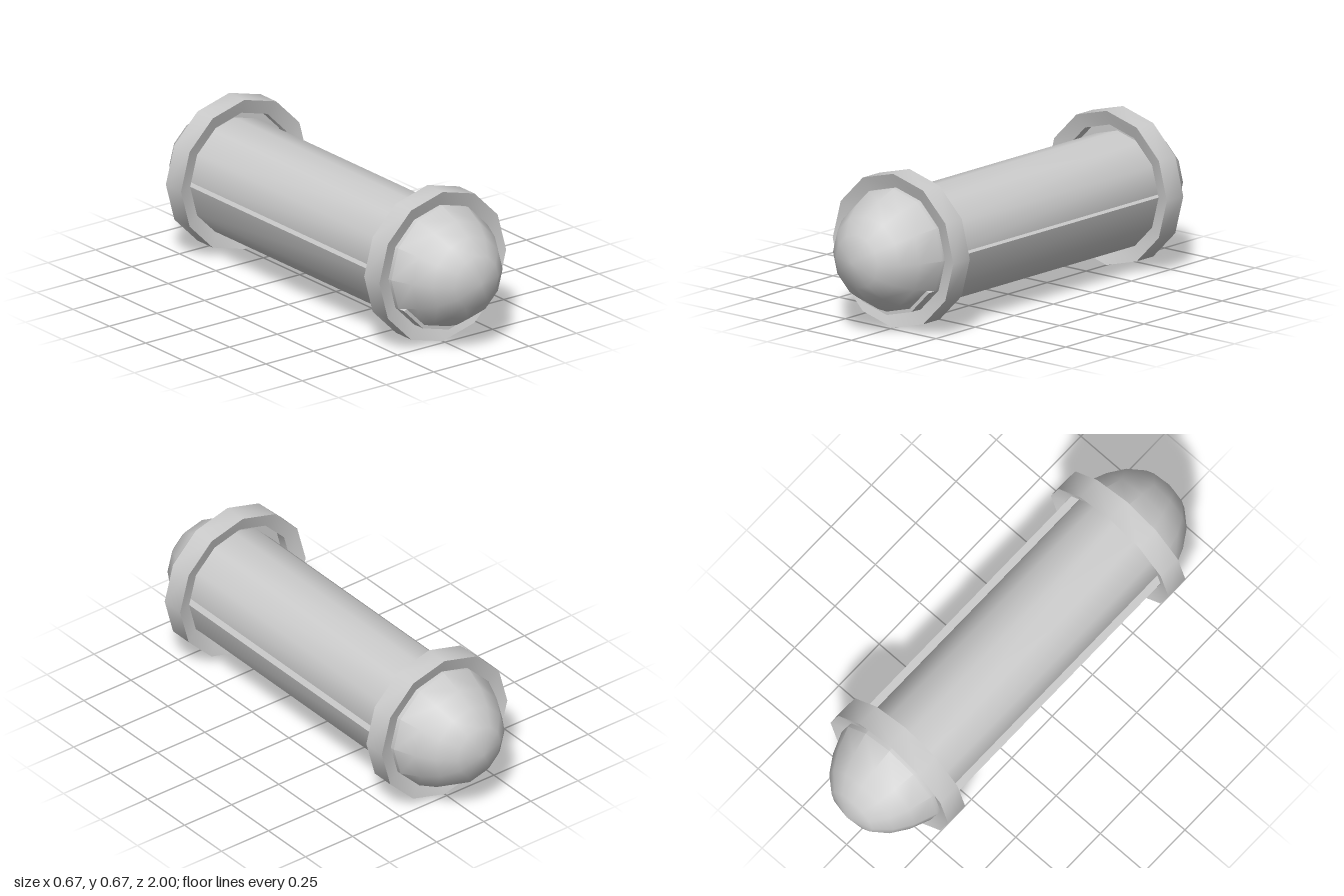
import * as THREE from 'three';
import { toCreasedNormals } from 'three/addons/utils/BufferGeometryUtils.js';

const SIDES = 12;
const CENTRE_Y = 0.333;
const material = new THREE.MeshStandardMaterial({ color: 0xcccccc });

function part(name, geometry) {
  const mesh = new THREE.Mesh(toCreasedNormals(geometry, 0.6), material);
  mesh.name = name;
  return mesh;
}

// Twelve-sided turned part along z, from [radius, z] points
function turned(name, points) {
  const profile = points.map(([r, z]) => new THREE.Vector2(r, z));
  return part(name, new THREE.LatheGeometry(profile, SIDES).rotateX(Math.PI / 2));
}

// Curved trough below the tube, spanning a number of 30 degree facets
function trough(name, facets, inner, outer, zBack, zFront) {
  const shape = new THREE.Shape();
  const step = (Math.PI * 2) / SIDES;
  const start = -Math.PI / 2 - (facets * step) / 2;
  const corner = (r, i) => [r * Math.cos(start + i * step), r * Math.sin(start + i * step)];
  shape.moveTo(...corner(outer, 0));
  for (let i = 1; i <= facets; i++) shape.lineTo(...corner(outer, i));
  for (let i = facets; i >= 0; i--) shape.lineTo(...corner(inner, i));
  const geometry = new THREE.ExtrudeGeometry(shape, { depth: zFront - zBack, bevelEnabled: false });
  return part(name, geometry.translate(0, 0, zBack));
}

export function createModel() {
  const model = new THREE.Group();
  model.name = 'capsule';
  const body = new THREE.Group();
  body.name = 'body';
  body.position.y = CENTRE_Y;
  model.add(body);

  // Central tube and the half shell cradling it
  body.add(turned('tube', [[0.234, -0.72], [0.234, 0.72]]));
  body.add(trough('lowerShell', 6, 0.228, 0.268, -0.72, 0.72));

  // Bottom plate reaching past the front collar
  body.add(trough('bottomPlate', 4, 0.23, 0.269, 0.7, 0.775));

  // Matching collar and dome at each end
  for (const [name, turn] of [['front', 0], ['back', Math.PI]]) {
    const end = new THREE.Group();
    end.name = name + 'End';
    end.rotation.y = turn;

    // Collar with slightly dished faces
    end.add(turned(name + 'Collar', [
      [0.27, 0.65], [0.333, 0.63], [0.333, 0.735], [0.27, 0.715], [0.27, 0.65],
    ]));

    // Rounded cap
    end.add(turned(name + 'Dome', [
      [0, 0.7], [0.27, 0.7], [0.27, 0.735], [0.232, 0.83],
      [0.183, 0.907], [0.115, 0.967], [0, 1],
    ]));
    body.add(end);
  }
  return model;
}
